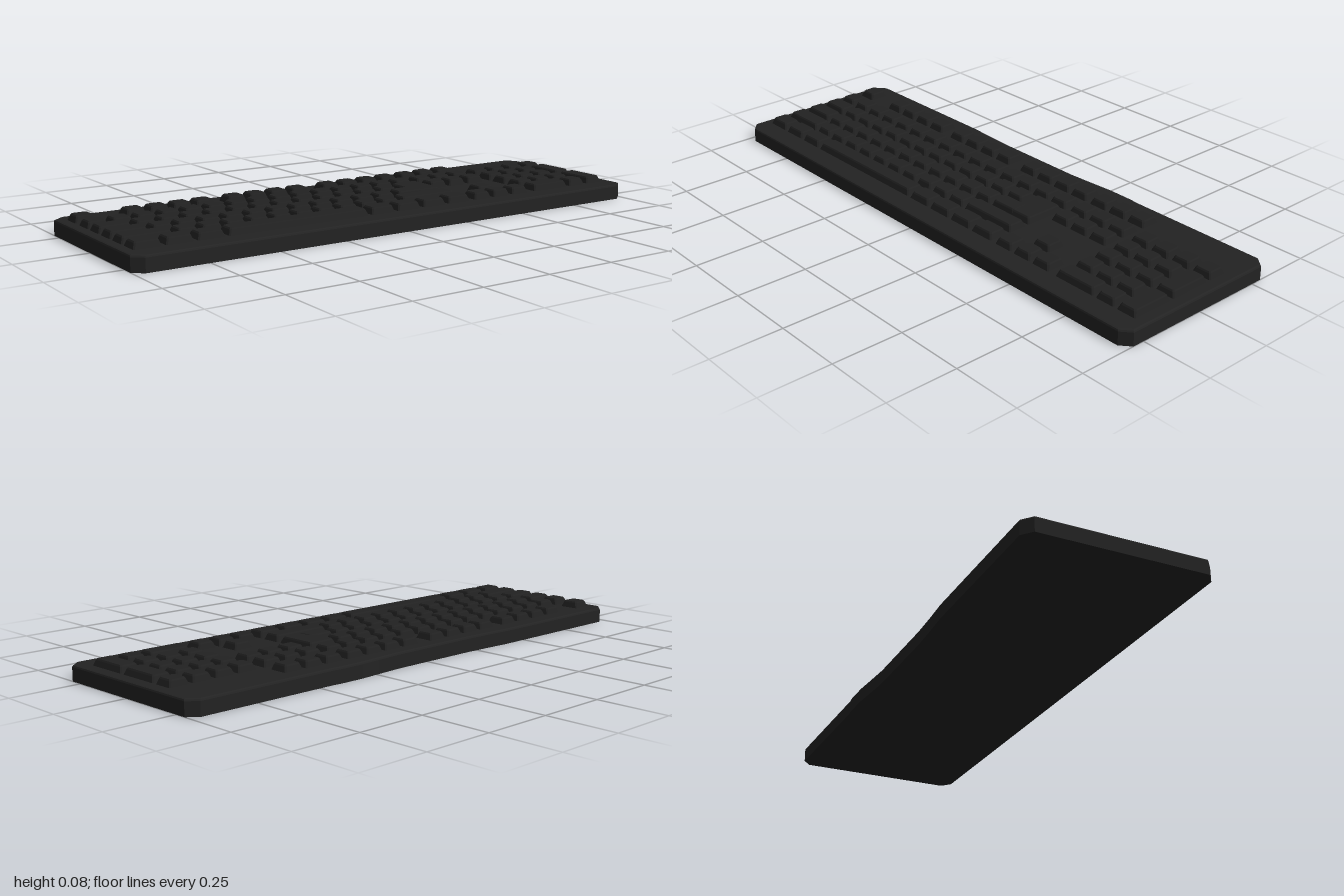
import * as THREE from 'three';
import { mergeGeometries } from 'three/addons/utils/BufferGeometryUtils.js';

const U = 0.0867;          // one key unit in x
const GAP = 0.009;         // space between neighbouring key bases
const DEPTH = 0.076;       // depth of one key
const PITCH = 0.084;       // spacing of the five lower rows
const LEFT = -0.972;       // left edge of the main block
const NAV = 0.338;         // left edge of the navigation block
const PAD = 0.617;         // left edge of the number pad
// back edge of each row, top row first
const ROW_Z = [-0.264, ...[0, 1, 2, 3, 4].map(i => -0.166 + i * PITCH)];

// Flat-sided solid from stacked rings; ring points are [x, -z], counter-clockwise from above
function loft(rings) {
  const pos = [];
  const put = (ring, i) => pos.push(ring.pts[i][0], ring.y, -ring.pts[i][1]);
  const n = rings[0].pts.length;
  for (let r = 0; r < rings.length - 1; r++) {
    const lo = rings[r], hi = rings[r + 1];
    for (let i = 0; i < n; i++) {
      const j = (i + 1) % n;
      put(lo, i); put(lo, j); put(hi, j);
      put(lo, i); put(hi, j); put(hi, i);
    }
  }
  const top = rings[rings.length - 1];
  const caps = THREE.ShapeUtils.triangulateShape(top.pts.map(p => new THREE.Vector2(p[0], p[1])), []);
  for (const [a, b, c] of caps) {
    put(top, a); put(top, b); put(top, c);
    put(rings[0], c); put(rings[0], b); put(rings[0], a);
  }
  const geo = new THREE.BufferGeometry();
  geo.setAttribute('position', new THREE.Float32BufferAttribute(pos, 3));
  geo.computeVertexNormals();
  return geo;
}

// Rectangle with clipped corners, shrunk by an inset
function clippedRect(x0, x1, z0, z1, inset, clip) {
  const a = x0 + inset, b = x1 - inset, s = -z1 + inset, t = -z0 - inset;
  return [[a + clip, s], [b - clip, s], [b, s + clip], [b, t - clip],
    [b - clip, t], [a + clip, t], [a, t - clip], [a, s + clip]];
}

// Tapered keycap with a softened top edge
function keycap(x0, x1, z0, z1, top = 0.077) {
  const ring = (inset, y, clip) => ({ y, pts: clippedRect(x0, x1, z0, z1, inset, clip) });
  return loft([ring(0, 0.049, 0.004), ring(0.0085, top - 0.005, 0.005), ring(0.012, top, 0.005)]);
}

// Key given in units: block edge, row, start, width and number of rows covered
function key(left, row, start, width = 1, rows = 1) {
  const x = left + start * U + GAP / 2;
  const z = ROW_Z[row];
  return keycap(x, x + width * U - GAP, z, z + DEPTH + (rows - 1) * PITCH);
}

// Run of neighbouring keys
function run(left, row, start, widths) {
  return widths.map(w => {
    const geo = key(left, row, start, w);
    start += w;
    return geo;
  });
}

export function createModel() {
  const model = new THREE.Group();
  const bodyBlack = new THREE.MeshStandardMaterial({ color: 0x232323 });
  bodyBlack.name = 'body black';
  const keyBlack = new THREE.MeshStandardMaterial({ color: 0x212121 });
  keyBlack.name = 'key black';
  const add = (name, geos, mat) => {
    const mesh = new THREE.Mesh(mergeGeometries(geos), mat);
    mesh.name = name;
    model.add(mesh);
  };
  const ones = n => Array(n).fill(1);

  // Case: clipped corners and a shallow wave along the back edge
  const outline = [[-0.965, -0.323], [0.965, -0.323], [1, -0.293], [1, 0.29], [0.965, 0.32],
    [0.44, 0.32], [0.42, 0.323], [0.32, 0.323], [0.24, 0.317], [0.14, 0.31],
    [-0.2, 0.31], [-0.3, 0.314], [-0.4, 0.32], [-0.965, 0.32], [-1, 0.29], [-1, -0.293]];
  const caseRing = (y, e) => ({ y, pts: outline.map(([x, v]) => [x * (1 - e), v * (1 - e / 0.32)]) });
  add('case', [loft([caseRing(0, 0), caseRing(0.047, 0), caseRing(0.052, 0.002), caseRing(0.054, 0.007)])], bodyBlack);

  // Top row: escape and three groups of four
  add('topRowKeys', [
    ...run(LEFT, 0, 0, [1]),
    ...[2.08, 6.5, 11.03].flatMap(s => run(LEFT, 0, s, ones(4))),
  ], keyBlack);

  // Main block
  add('mainKeys', [
    ...run(LEFT, 1, 0, ones(15)),
    ...run(LEFT, 2, 0, [1.5, ...ones(12)]),
    ...run(LEFT, 3, 0, [1.7, ...ones(11)]),
    ...run(LEFT, 4, 0, [2.2, ...ones(10), 2.8]),
  ], keyBlack);
  add('bottomRowKeys', run(LEFT, 5, 0, [1.25, 1.25, 1.25, 6.25, 1.25, 1.25, 1.25, 1.25]), keyBlack);

  // L-shaped enter key: tall part and a slightly raised foot
  const enterX = LEFT + 12.7 * U + GAP / 2;
  add('enterKey', [
    key(LEFT, 2, 13.5, 1.5, 2),
    keycap(enterX, LEFT + 14.1 * U, ROW_Z[3], ROW_Z[3] + DEPTH, 0.0785),
  ], keyBlack);

  // Navigation block and arrows
  add('navigationKeys', [0, 1, 2].flatMap(r => run(NAV, r, 0, ones(3))), keyBlack);
  add('arrowKeys', [key(NAV, 4, 1), ...run(NAV, 5, 0, ones(3))], keyBlack);

  // Number pad with two double-height keys and a wide zero
  add('numberPadKeys', [
    ...run(PAD, 1, 0, ones(4)),
    ...[2, 3, 4].flatMap(r => run(PAD, r, 0, ones(3))),
    ...run(PAD, 5, 0, [2, 1]),
    key(PAD, 2, 3, 1, 2),
    key(PAD, 4, 3, 1, 2),
  ], keyBlack);

  return model;
}
